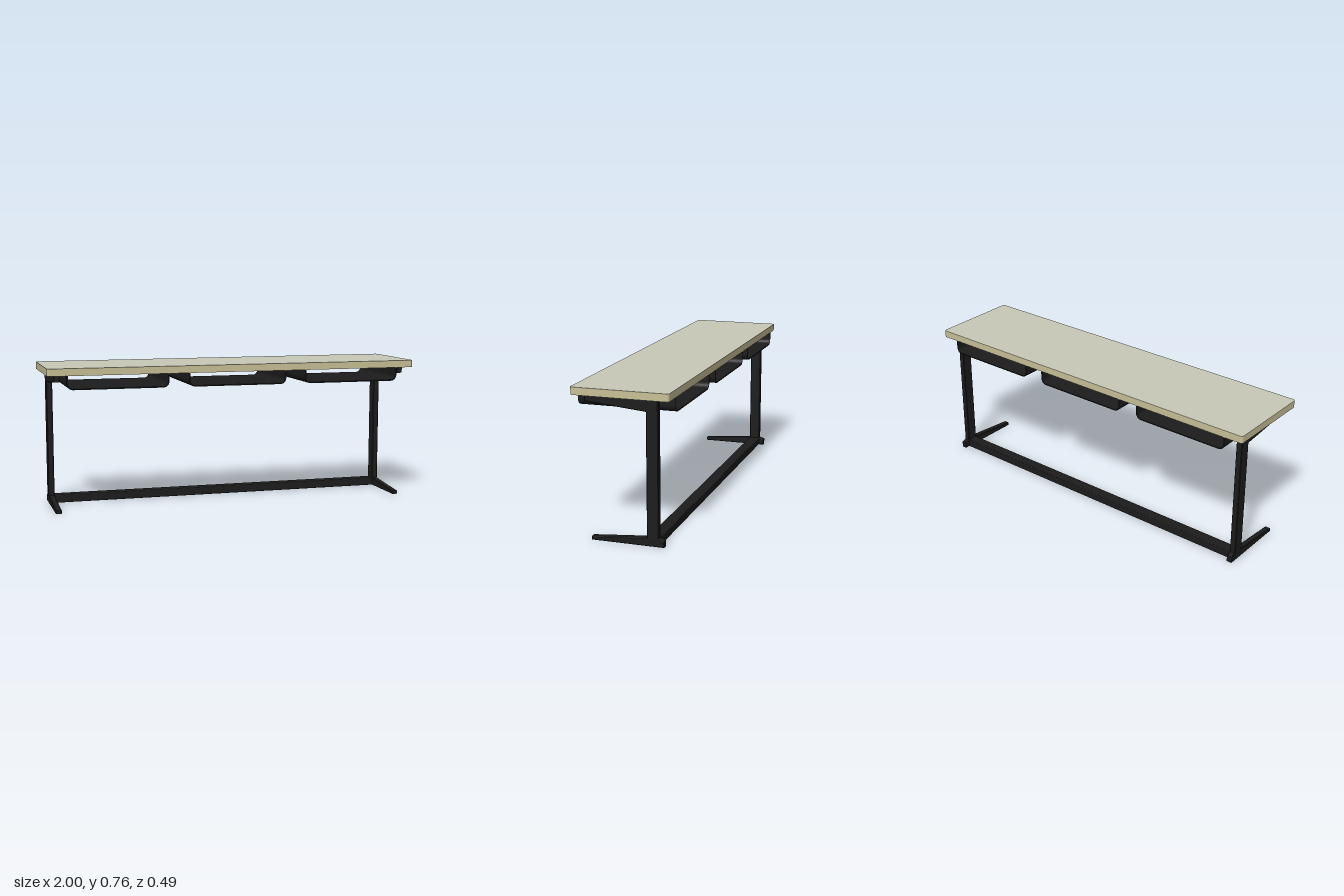
import * as THREE from 'three';

const black = new THREE.MeshStandardMaterial({ color: 0x1c1c1c });
const laminate = new THREE.MeshStandardMaterial({ color: 0xc9c9b9 });
const edging = new THREE.MeshStandardMaterial({ color: 0xc8c097 });

const X = 0.945;        // centre of each side frame
const UNDER = 0.722;    // underside of the desk top

function roundedRect(w, d, r) {
  const s = new THREE.Shape();
  s.absarc(w / 2 - r, d / 2 - r, r, 0, Math.PI / 2);
  s.absarc(-w / 2 + r, d / 2 - r, r, Math.PI / 2, Math.PI);
  s.absarc(-w / 2 + r, -d / 2 + r, r, Math.PI, Math.PI * 1.5);
  s.absarc(w / 2 - r, -d / 2 + r, r, Math.PI * 1.5, Math.PI * 2);
  return s;
}

function add(group, name, geometry, material) {
  const mesh = new THREE.Mesh(geometry, material);
  mesh.name = name;
  group.add(mesh);
  return mesh;
}

// Foot, upright and tapered arm as one side profile (z, y), extruded along x
function sideFrameGeometry() {
  const profile = [
    [0.165, 0], [0.165, 0.018], [-0.118, 0.043], [-0.118, 0.658],
    [0.19, 0.687], [0.19, UNDER], [-0.178, UNDER], [-0.178, 0.043],
    [-0.205, 0.034], [-0.205, 0],
  ].map(([z, y]) => new THREE.Vector2(z, y));
  const b = 0.003, width = 0.032;
  return new THREE.ExtrudeGeometry(new THREE.Shape(profile), {
    depth: width - 2 * b, bevelEnabled: true, bevelSize: b,
    bevelOffset: -b, bevelThickness: b, bevelSegments: 1,
  }).translate(0, 0, -width / 2 + b).rotateY(-Math.PI / 2);
}

// Thin bent sheet, open at front and back
function trayGeometry() {
  const w = 0.265, bottom = 0.65, r = 0.032, t = 0.006;
  const s = new THREE.Shape();
  s.moveTo(-w, UNDER);
  s.lineTo(-w, bottom + r);
  s.absarc(-w + r, bottom + r, r, Math.PI, Math.PI * 1.5, false);
  s.absarc(w - r, bottom + r, r, Math.PI * 1.5, Math.PI * 2, false);
  s.lineTo(w, UNDER);
  s.lineTo(w - t, UNDER);
  s.absarc(w - r, bottom + r, r - t, 0, -Math.PI / 2, true);
  s.absarc(-w + r, bottom + r, r - t, -Math.PI / 2, -Math.PI, true);
  s.lineTo(-w + t, UNDER);
  s.closePath();
  return new THREE.ExtrudeGeometry(s, { depth: 0.49, bevelEnabled: false, curveSegments: 6 })
    .translate(0, 0, -0.245);
}

export function createModel() {
  const desk = new THREE.Group();
  desk.name = 'desk';

  // Board with laminate faces and a contrasting edge band
  const top = new THREE.ExtrudeGeometry(roundedRect(2, 0.49, 0.014), {
    depth: 0.038, bevelEnabled: false, curveSegments: 4,
  }).rotateX(-Math.PI / 2).translate(0, UNDER, 0);
  add(desk, 'deskTop', top, [laminate, edging]);

  // Side frames
  const side = sideFrameGeometry();
  add(desk, 'leftSideFrame', side, black).position.x = X;
  add(desk, 'rightSideFrame', side, black).position.x = -X;

  // Floor-level rail between the uprights
  const rail = new THREE.ExtrudeGeometry(roundedRect(0.06, 0.043, 0.004), {
    depth: 2 * X - 0.02, bevelEnabled: false, curveSegments: 2,
  }).translate(0, 0, -X + 0.01).rotateY(Math.PI / 2);
  add(desk, 'floorRail', rail, black).position.set(0, 0.0215, -0.148);

  // Three storage trays under the top
  const tray = trayGeometry();
  ['rightTray', 'middleTray', 'leftTray'].forEach((name, i) => {
    add(desk, name, tray, black).position.x = (i - 1) * 0.637;
  });

  return desk;
}
